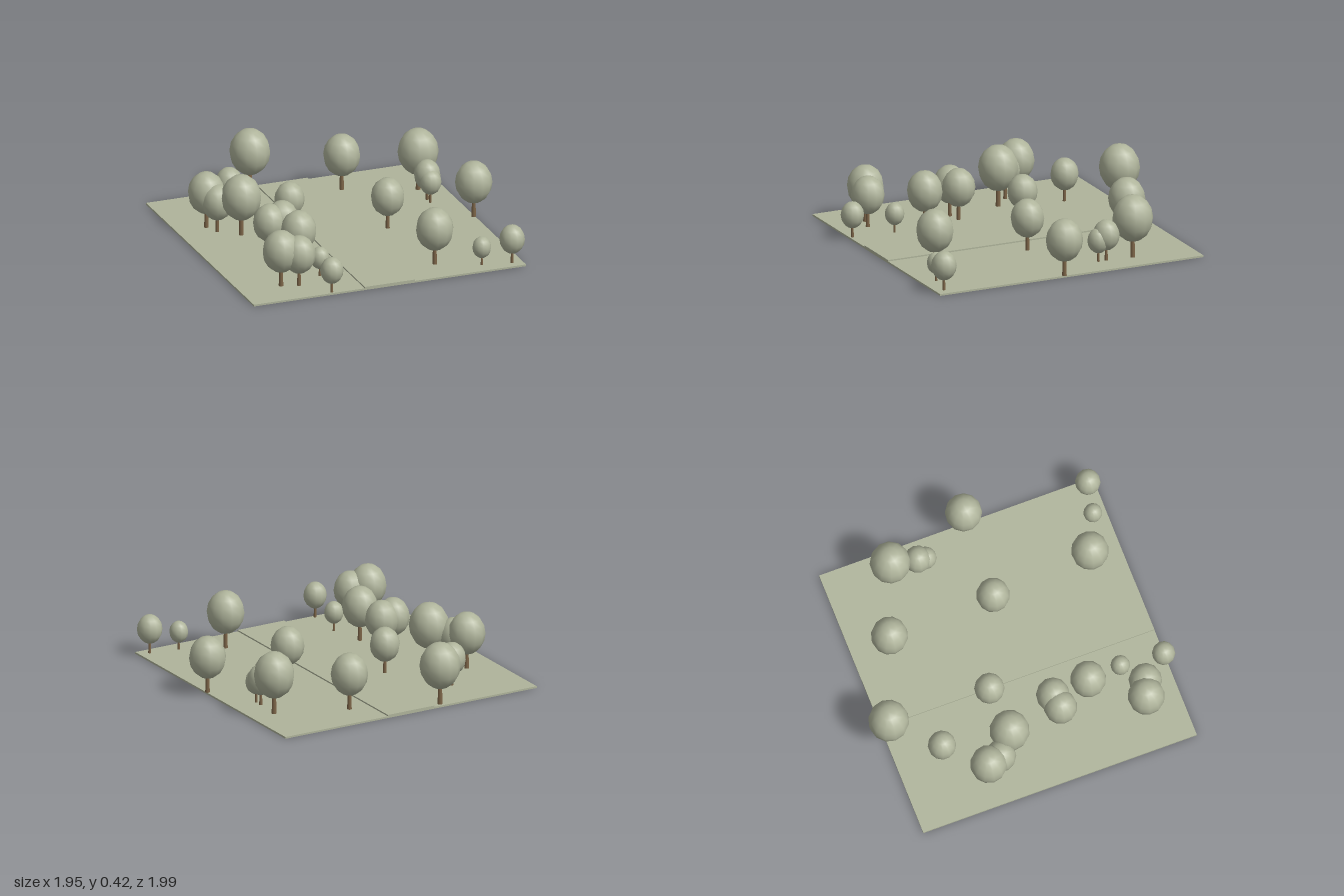
import * as THREE from 'three';

const sage = new THREE.MeshStandardMaterial({ color: 0xafb49b });
sage.name = 'paleSage';
const bark = new THREE.MeshStandardMaterial({ color: 0x7d6548 });
bark.name = 'barkBrown';

const GROUND_TOP = 0.012;

// x, z and crown radius of every tree
const TREES = [
  [-0.29, -0.87, 0.13], [-0.535, -0.605, 0.09], [0.248, -0.66, 0.118],
  [0.695, -0.485, 0.13], [0.685, -0.305, 0.085], [0.685, -0.25, 0.07],
  [-0.777, -0.383, 0.118], [-0.74, -0.29, 0.1], [-0.62, -0.183, 0.128],
  [-0.29, -0.193, 0.096], [0.278, 0.048, 0.107], [0.852, 0.068, 0.118],
  [-0.572, 0.178, 0.106], [-0.48, 0.162, 0.107], [-0.465, 0.405, 0.114],
  [-0.415, 0.64, 0.062], [-0.703, 0.705, 0.118], [-0.595, 0.74, 0.106],
  [0.33, 0.72, 0.12], [-0.445, 0.92, 0.074], [0.6, 0.842, 0.06],
  [0.79, 0.88, 0.081],
];

// unit tree shapes, scaled by crown radius
const crownShape = new THREE.SphereGeometry(1, 12, 8);
const trunkShape = new THREE.CylinderGeometry(0.09, 0.125, 1.2, 8);
trunkShape.translate(0, 0.6, 0);

function addBox(parent, name, x0, x1, y0, y1, z0, z1) {
  const mesh = new THREE.Mesh(new THREE.BoxGeometry(x1 - x0, y1 - y0, z1 - z0), sage);
  mesh.name = name;
  mesh.position.set((x0 + x1) / 2, (y0 + y1) / 2, (z0 + z1) / 2);
  parent.add(mesh);
}

function makeTree([x, z, radius], i) {
  const tree = new THREE.Group();
  tree.name = `tree${i + 1}`;
  const trunk = new THREE.Mesh(trunkShape, bark);
  trunk.name = 'trunk';
  // egg-shaped crown, a little taller than wide
  const crown = new THREE.Mesh(crownShape, sage);
  crown.name = 'crown';
  crown.position.y = 1.98;
  crown.scale.y = 1.17;
  tree.add(trunk, crown);
  tree.position.set(x, GROUND_TOP, z);
  tree.rotation.y = i * 1.3;
  tree.scale.setScalar(radius);
  return tree;
}

export function createModel() {
  const park = new THREE.Group();
  park.name = 'park';
  // flat lawn with a raised path running front to back
  addBox(park, 'lawn', -0.98, 0.86, 0, GROUND_TOP, -0.9, 0.94);
  addBox(park, 'path', -0.23, 0.11, GROUND_TOP, 0.021, -0.9, 0.94);
  TREES.forEach((spec, i) => park.add(makeTree(spec, i)));
  return park;
}
